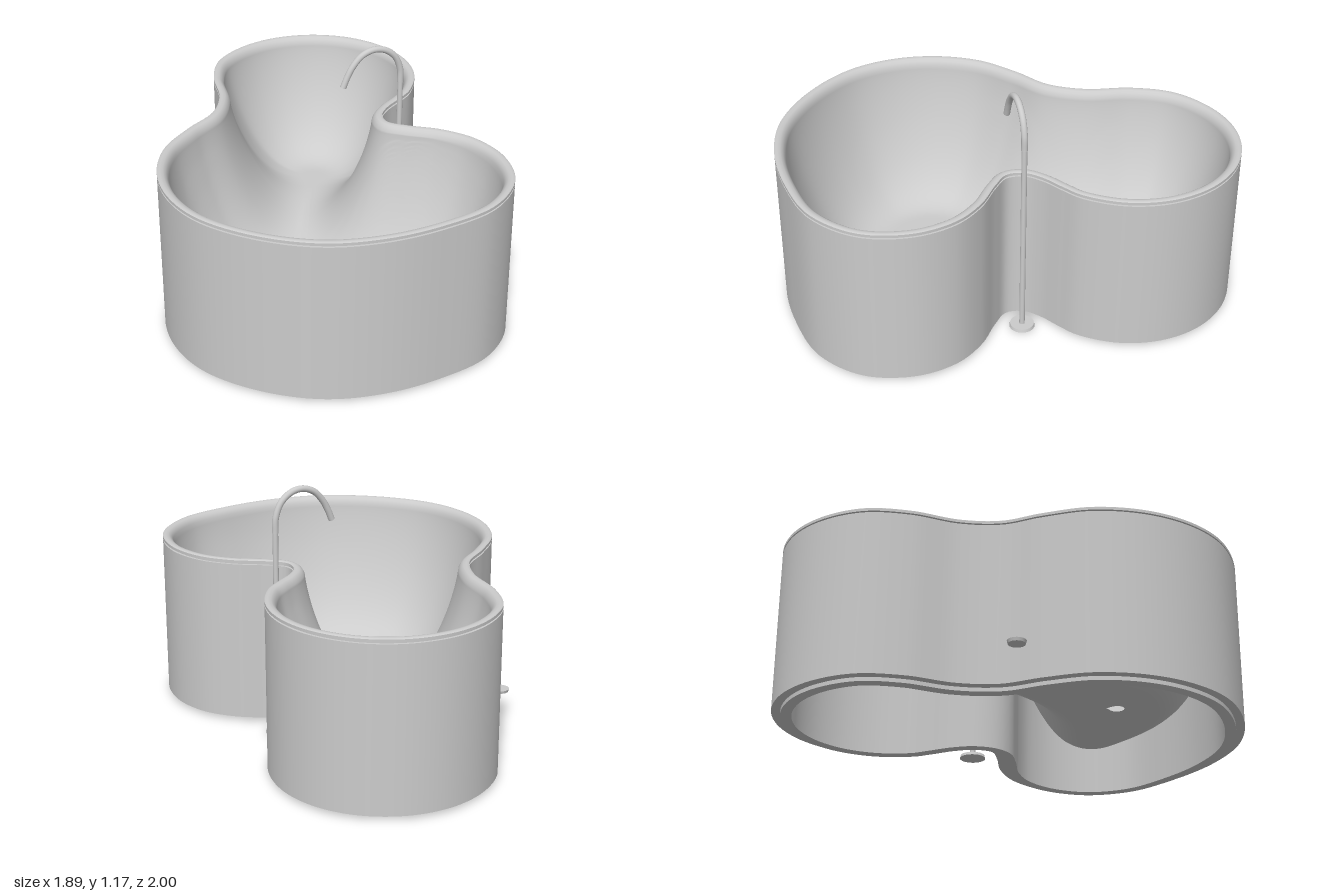
import * as THREE from 'three';
import { mergeGeometries } from 'three/addons/utils/BufferGeometryUtils.js';

const N = 320;
const TOP = 0.8;
const mat = new THREE.MeshStandardMaterial({ color: 0xcccccc, side: THREE.DoubleSide });

// Two-lobed plan outline as [x, z]: a circular seat lobe running into a larger free-form lobe
const PLAN = [];
for (let k = 0; k < 8; k++) {
  const a = -Math.PI / 2 + (k * Math.PI) / 8;
  PLAN.push([0.43 + 0.511 * Math.cos(a), -0.489 + 0.511 * Math.sin(a)]);
}
PLAN.push(
  [0.52, 0.008], [0.41, 0.028], [0.33, 0.065], [0.29, 0.135], [0.325, 0.23], [0.4, 0.37],
  [0.436, 0.54], [0.39, 0.74], [0.24, 0.92], [0, 0.998], [-0.27, 0.95], [-0.52, 0.845],
  [-0.73, 0.68], [-0.88, 0.43], [-0.944, 0.15], [-0.905, -0.08], [-0.79, -0.28],
  [-0.61, -0.43], [-0.4, -0.5], [-0.21, -0.54], [-0.06, -0.65], [0.07, -0.83], [0.23, -0.96],
);
const curve = new THREE.CatmullRomCurve3(PLAN.map(([x, z]) => new THREE.Vector3(x, 0, z)), true);
const outline = curve.getSpacedPoints(N).slice(0, N);
const normals = outline.map((p, i) => {
  const t = outline[(i + 1) % N].clone().sub(outline[(i + N - 1) % N]).normalize();
  return new THREE.Vector3(t.z, 0, -t.x);
});

// Outline moved inward by d, at height y
function ring(d, y) {
  return outline.map((p, i) => p.clone().addScaledVector(normals[i], -d).setY(y));
}

// Closed loops joined by a smooth skin
function loft(rings) {
  const pos = [], index = [];
  rings.forEach((r) => r.forEach((p) => pos.push(p.x, p.y, p.z)));
  for (let k = 0; k < rings.length - 1; k++) {
    for (let i = 0; i < N; i++) {
      const j = (i + 1) % N, a = k * N, b = a + N;
      index.push(a + i, b + i, a + j, a + j, b + i, b + j);
    }
  }
  const g = new THREE.BufferGeometry();
  g.setAttribute('position', new THREE.Float32BufferAttribute(pos, 3));
  g.setIndex(index);
  g.computeVertexNormals();
  return g;
}

// Profile of [inset, height] swept round the outline with sharp edges
function sweep(profile) {
  return mergeGeometries(profile.slice(1).map((q, k) => loft([ring(...profile[k]), ring(...q)])));
}

function add(group, name, geometry) {
  const m = new THREE.Mesh(geometry, mat);
  m.name = name;
  group.add(m);
  return m;
}

// Basin: rays run from the rounded lip to a spine joining the seat and the drain
function basinGeometry() {
  const seat = new THREE.Vector3(0.42, 0, -0.48), drain = new THREE.Vector3(-0.36, 0, 0.19);
  const axis = drain.clone().sub(seat), len = axis.length();
  axis.normalize();
  const hole = 0.035, start = 0.05, wall = 0.39, lipY = TOP - 0.025;

  const height = (p) => {
    let d2 = Infinity;
    for (const o of outline) d2 = Math.min(d2, (p.x - o.x) ** 2 + (p.z - o.z) ** 2);
    const x = 1 - THREE.MathUtils.clamp((Math.sqrt(d2) - start) / wall, 0, 1);
    const along = (p.x - seat.x) * axis.x + (p.z - seat.z) * axis.z;
    const floor = THREE.MathUtils.lerp(0.22, 0.115, THREE.MathUtils.smoothstep(along, 0.1, 0.9));
    return lipY - (lipY - floor) * Math.pow(1 - Math.pow(x, 2.2), 0.75);
  };

  const lip = ring(start, lipY);
  const target = lip.map((l) => {
    const p = l.clone().setY(0);
    const v = p.clone().sub(seat);
    const s = THREE.MathUtils.clamp(v.dot(axis), 0, len);
    const q = seat.clone().addScaledVector(axis, s);
    const u = len - s;
    const r = u < hole ? Math.sqrt(hole * hole - u * u) : 0;
    return q.addScaledVector(p.sub(q).normalize(), r);
  });
  const rings = [ring(0, TOP), ring(0.004, TOP + 0.003), ring(0.014, TOP + 0.005),
    ring(0.028, TOP + 0.002), ring(0.04, TOP - 0.007), lip];
  const steps = 36;
  for (let k = 1; k <= steps; k++) {
    const t = Math.pow(k / steps, 1.6);
    rings.push(lip.map((p, i) => {
      const q = p.clone().lerp(target[i], t);
      return q.setY(height(q));
    }));
  }
  return loft(rings);
}

export function createModel() {
  const model = new THREE.Group();
  model.name = 'bathtub';

  // Hollow outer shell standing on a recessed plinth
  add(model, 'outerShell', sweep([
    [0.09, 0.5], [0.09, 0], [0.04, 0], [0.04, 0.018], [0, 0.018], [0, 0.78],
    [0.012, 0.78], [0.012, 0.787],
  ]));

  // Thin rim edge above a shadow gap, with the lip rolling into the basin
  add(model, 'rimEdge', sweep([[0.012, 0.787], [0, 0.787], [0, TOP]]));
  add(model, 'basin', basinGeometry());

  // Floor-standing spout
  const faucet = new THREE.Group();
  faucet.name = 'faucet';
  model.add(faucet);
  const flange = add(faucet, 'faucetBase', new THREE.CylinderGeometry(0.056, 0.06, 0.014, 32));
  flange.position.set(0.39, 0.007, 0.12);
  const pole = add(faucet, 'faucetPole', new THREE.CylinderGeometry(0.013, 0.013, 0.98, 20));
  pole.position.set(0.39, 0.49, 0.12);
  const arch = [[0.39, 0.97], [0.387, 1.04], [0.362, 1.105], [0.315, 1.146], [0.262, 1.156],
    [0.208, 1.135], [0.165, 1.085], [0.14, 1.035], [0.123, 0.99]]
    .map(([x, y]) => new THREE.Vector3(x, y, 0.12 - (0.39 - x) * 0.45));
  add(faucet, 'faucetSpout',
    new THREE.TubeGeometry(new THREE.CatmullRomCurve3(arch), 64, 0.015, 16, false));

  // Separate drain cap behind the tub, level with the basin floor
  const cap = add(model, 'drainCap', new THREE.CylinderGeometry(0.042, 0.038, 0.014, 32));
  cap.position.set(-0.36, 0.135, -0.64);

  return model;
}
